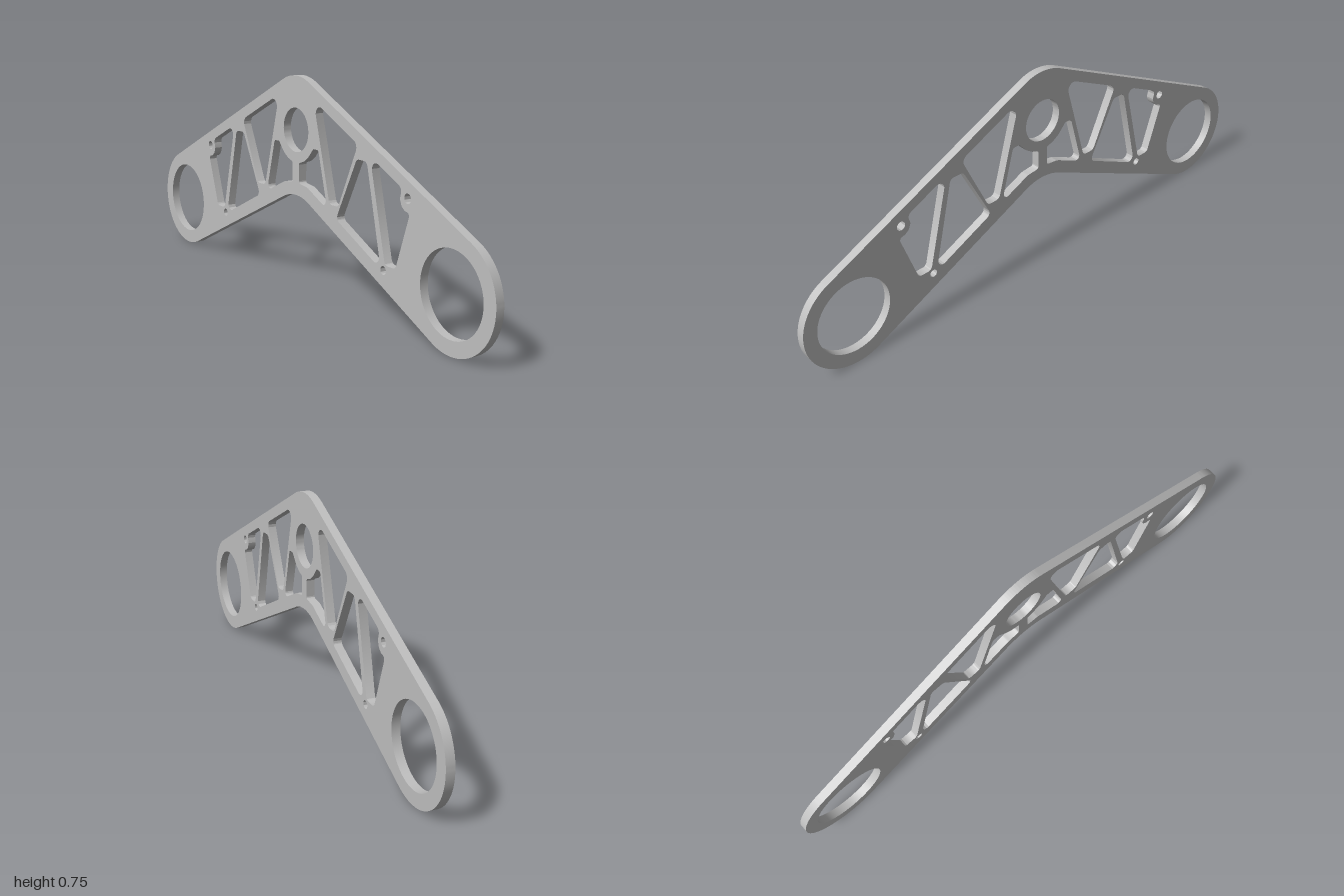
import * as THREE from 'three';
import { toCreasedNormals } from 'three/addons/utils/BufferGeometryUtils.js';

const THICKNESS = 0.03;
const TILT = THREE.MathUtils.degToRad(25); // slope of both arms
const END = [0.813, 0.19];
const END_R = 0.187;

// Closed path through [u, y, cornerRadius] points, corners rounded by tangent arcs
function roundedPath(points) {
  const path = new THREE.Path();
  const n = points.length;
  points.forEach(([x, y, r = 0], i) => {
    const p = new THREE.Vector2(x, y);
    const prev = points[(i + n - 1) % n], next = points[(i + 1) % n];
    const a = new THREE.Vector2(prev[0], prev[1]).sub(p).normalize();
    const b = new THREE.Vector2(next[0], next[1]).sub(p).normalize();
    const go = (v) => (i === 0 ? path.moveTo(v.x, v.y) : path.lineTo(v.x, v.y));
    if (!r) { go(p); return; }
    const half = Math.acos(THREE.MathUtils.clamp(a.dot(b), -1, 1)) / 2;
    const start = p.clone().addScaledVector(a, r / Math.tan(half));
    const end = p.clone().addScaledVector(b, r / Math.tan(half));
    const c = p.clone().addScaledVector(a.clone().add(b).normalize(), r / Math.sin(half));
    go(start);
    path.absarc(c.x, c.y, r,
      Math.atan2(start.y - c.y, start.x - c.x),
      Math.atan2(end.y - c.y, end.x - c.x), a.cross(b) > 0);
  });
  path.closePath();
  return path;
}

function circle(x, y, r) {
  const path = new THREE.Path();
  path.absarc(x, y, r, 0, Math.PI * 2, false);
  return path;
}

// Boomerang outline: two round ends, a rounded crown and a rounded inner bend
function outline() {
  const s = new THREE.Shape();
  const up = Math.PI / 2;
  s.absarc(0, 0.57, END_R, up - TILT, up + TILT, false);
  s.absarc(-END[0], END[1], END_R, up + TILT, up + TILT + Math.PI, false);
  s.absarc(0, 0.155, END_R, up + TILT, up - TILT, true);
  s.absarc(END[0], END[1], END_R, -up - TILT, up - TILT, false);
  s.closePath();
  return s;
}

// Truss pockets of one arm
const pockets = [
  // beside the crown hole
  [[0.358, 0.567, 0.025], [0.107, 0.684, 0.025], [0.203, 0.345, 0.02], [0.253, 0.345, 0.02]],
  // under the crown hole, following its ring
  [[0.02, 0.385, 0.01], [0.02, 0.457, 0.008], [0.049, 0.466], [0.074, 0.482], [0.093, 0.502],
    [0.107, 0.518, 0.008], [0.137, 0.518, 0.012], [0.19, 0.325, 0.015], [0.07, 0.38, 0.06]],
  // middle of the arm
  [[0.406, 0.519, 0.02], [0.353, 0.519, 0.02], [0.241, 0.302, 0.02], [0.484, 0.188, 0.02]],
  // outer pocket, notched around the upper screw hole
  [[0.422, 0.538, 0.022], [0.583, 0.463, 0.02], [0.573, 0.43, 0.015], [0.582, 0.408],
    [0.598, 0.396], [0.622, 0.392, 0.012], [0.557, 0.205, 0.018], [0.505, 0.205, 0.018]],
];

export function createModel() {
  const group = new THREE.Group();
  group.name = 'trussPlate';
  const metal = new THREE.MeshStandardMaterial({ color: 0xbfbfbf });
  metal.name = 'grey metal';

  const shape = outline();
  shape.holes.push(circle(0, 0.57, 0.077)); // crown hole
  for (const side of [1, -1]) {
    shape.holes.push(circle(side * END[0], END[1], 0.137)); // large end hole
    shape.holes.push(circle(side * 0.61, 0.436, 0.016)); // upper screw hole
    shape.holes.push(circle(side * 0.497, 0.187, 0.014)); // lower screw hole
    for (const pocket of pockets) {
      shape.holes.push(roundedPath(pocket.map(([u, y, r]) => [side * u, y, r])));
    }
  }

  // Plate stands in the y-z plane
  const geometry = new THREE.ExtrudeGeometry(shape, {
    depth: THICKNESS, bevelEnabled: false, curveSegments: 32,
  });
  geometry.translate(0, 0, -THICKNESS / 2);
  geometry.rotateY(Math.PI / 2);

  const plate = new THREE.Mesh(toCreasedNormals(geometry, 0.6), metal);
  plate.name = 'plate';
  group.add(plate);
  return group;
}
